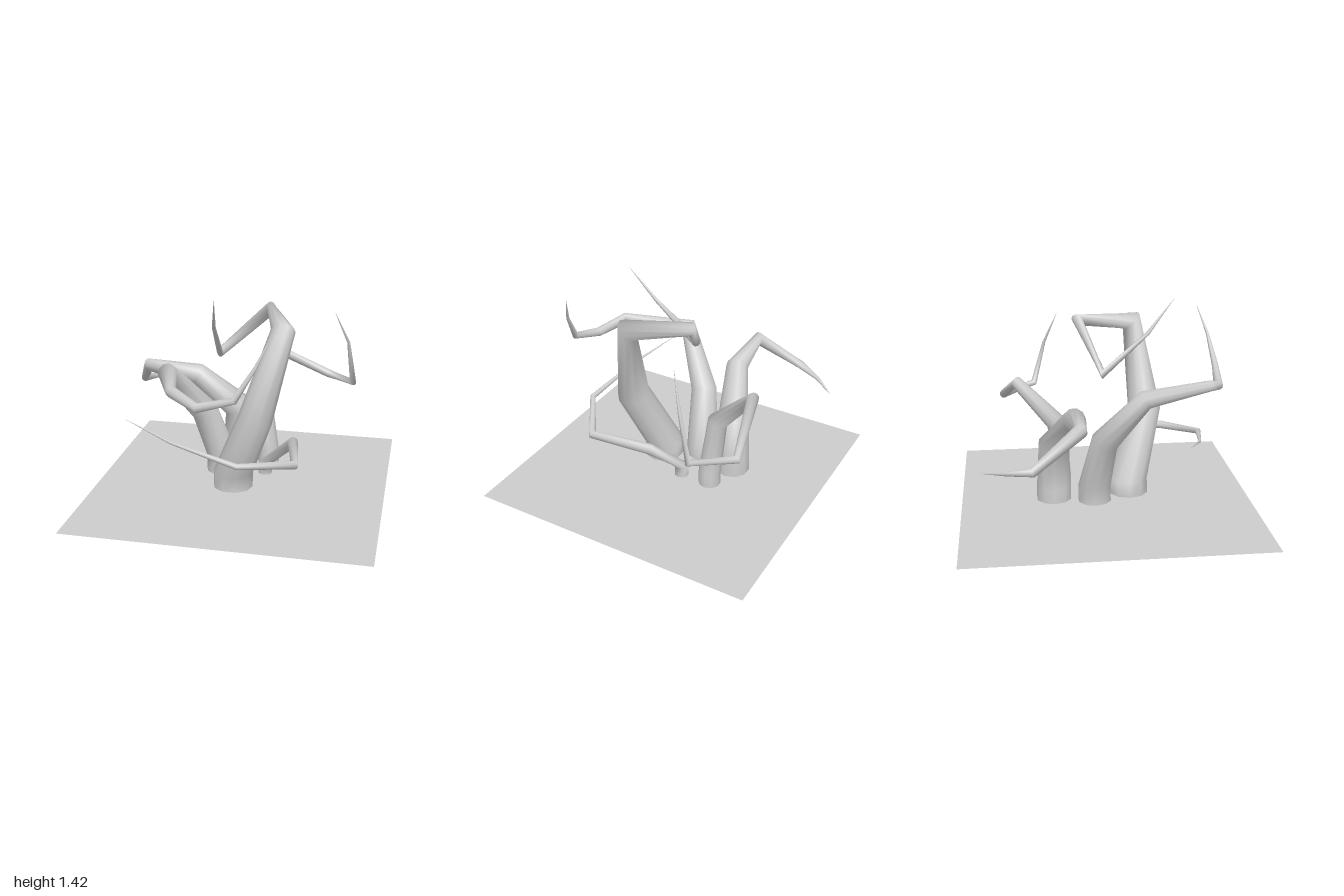
import * as THREE from 'three';

const SIDES = 10;

// Tapered tube through points [x, y, z, radius], rings set on the bisector of each bend
function tentacle(points) {
  const path = points.map(p => new THREE.Vector3(p[0], p[1], p[2]));
  const positions = [], indices = [];
  const normal = new THREE.Vector3(1, 0, 0);
  const last = path.length - 1;
  path.forEach((p, i) => {
    const tangent = new THREE.Vector3();
    if (i > 0) tangent.add(p.clone().sub(path[i - 1]).normalize());
    if (i < last) tangent.add(path[i + 1].clone().sub(p).normalize());
    if (i <= 1) tangent.set(0, 1, 0); // the foot stands upright
    tangent.normalize();
    // carry the frame along the path without twisting
    normal.addScaledVector(tangent, -normal.dot(tangent)).normalize();
    const side = tangent.clone().cross(normal);
    for (let j = 0; j < SIDES; j++) {
      const a = j / SIDES * Math.PI * 2;
      const v = p.clone()
        .addScaledVector(normal, Math.cos(a) * points[i][3])
        .addScaledVector(side, Math.sin(a) * points[i][3]);
      positions.push(v.x, v.y, v.z);
      if (i < last) {
        const k = (j + 1) % SIDES, r = i * SIDES;
        indices.push(r + j, r + k, r + SIDES + k, r + j, r + SIDES + k, r + SIDES + j);
      }
    }
  });
  const geometry = new THREE.BufferGeometry();
  geometry.setAttribute('position', new THREE.Float32BufferAttribute(positions, 3));
  geometry.setIndex(indices);
  geometry.computeVertexNormals();
  return geometry;
}

// Paths from foot to tip: x, y, z, radius
const TENTACLES = {
  frontTentacle: [
    [-0.035, 0.045, 0.16, 0.138], [-0.035, 0.15, 0.155, 0.138], [0.145, 0.6, 0.295, 0.115],
    [0.31, 1.19, 0.22, 0.08], [0.165, 1.235, -0.17, 0.045], [-0.165, 0.94, -0.03, 0.032],
    [-0.135, 1.2, 0.27, 0.013], [-0.09, 1.42, 0.45, 0.001]
  ],
  curlingTentacle: [
    [-0.165, 0.045, -0.09, 0.115], [-0.165, 0.15, -0.09, 0.112], [-0.28, 0.51, -0.03, 0.093],
    [-0.475, 0.85, 0.21, 0.065], [-0.32, 0.88, 0.65, 0.038], [-0.13, 0.825, 0.76, 0.032],
    [0.11, 0.9, 0.79, 0.023], [0.23, 1.1, 0.755, 0.011], [0.32, 1.29, 0.69, 0.001]
  ],
  rightTentacle: [
    [-0.1, 0.045, -0.365, 0.122], [-0.1, 0.14, -0.365, 0.12], [-0.1, 0.43, -0.36, 0.11],
    [-0.38, 0.7, -0.24, 0.078], [-0.74, 0.75, -0.23, 0.047], [-0.87, 0.545, -0.53, 0.03],
    [-0.8, 0.515, -0.69, 0.014], [-0.69, 0.48, -0.84, 0.001]
  ],
  backTentacle: [
    [0.13, 0.045, -0.305, 0.078], [0.13, 0.14, -0.305, 0.077], [0.075, 0.53, -0.33, 0.07],
    [0.115, 0.82, -0.6, 0.042], [0.51, 0.62, -0.69, 0.03], [0.715, 0.64, -0.46, 0.024],
    [0.68, 0.96, -0.38, 0.011], [0.59, 1.19, -0.29, 0.001]
  ],
  lowTentacle: [
    [0.145, 0.045, -0.09, 0.05], [0.145, 0.12, -0.09, 0.049], [0.36, 0.345, 0.04, 0.038],
    [0.435, 0.365, 0.455, 0.029], [0.1, 0.42, 0.68, 0.02], [-0.35, 0.51, 0.595, 0.01],
    [-0.7, 0.595, 0.46, 0.001]
  ]
};

export function createModel() {
  const group = new THREE.Group();
  group.name = 'tentacles';
  const grey = new THREE.MeshStandardMaterial({ color: 0xcccccc, side: THREE.DoubleSide });
  grey.name = 'lightGrey';

  // Flat square base
  const base = new THREE.Mesh(new THREE.PlaneGeometry(2, 2).rotateX(-Math.PI / 2), grey);
  base.name = 'basePlane';
  group.add(base);

  // Five bent tentacles rising from the base
  for (const [name, points] of Object.entries(TENTACLES)) {
    const mesh = new THREE.Mesh(tentacle(points), grey);
    mesh.name = name;
    group.add(mesh);
  }
  return group;
}
